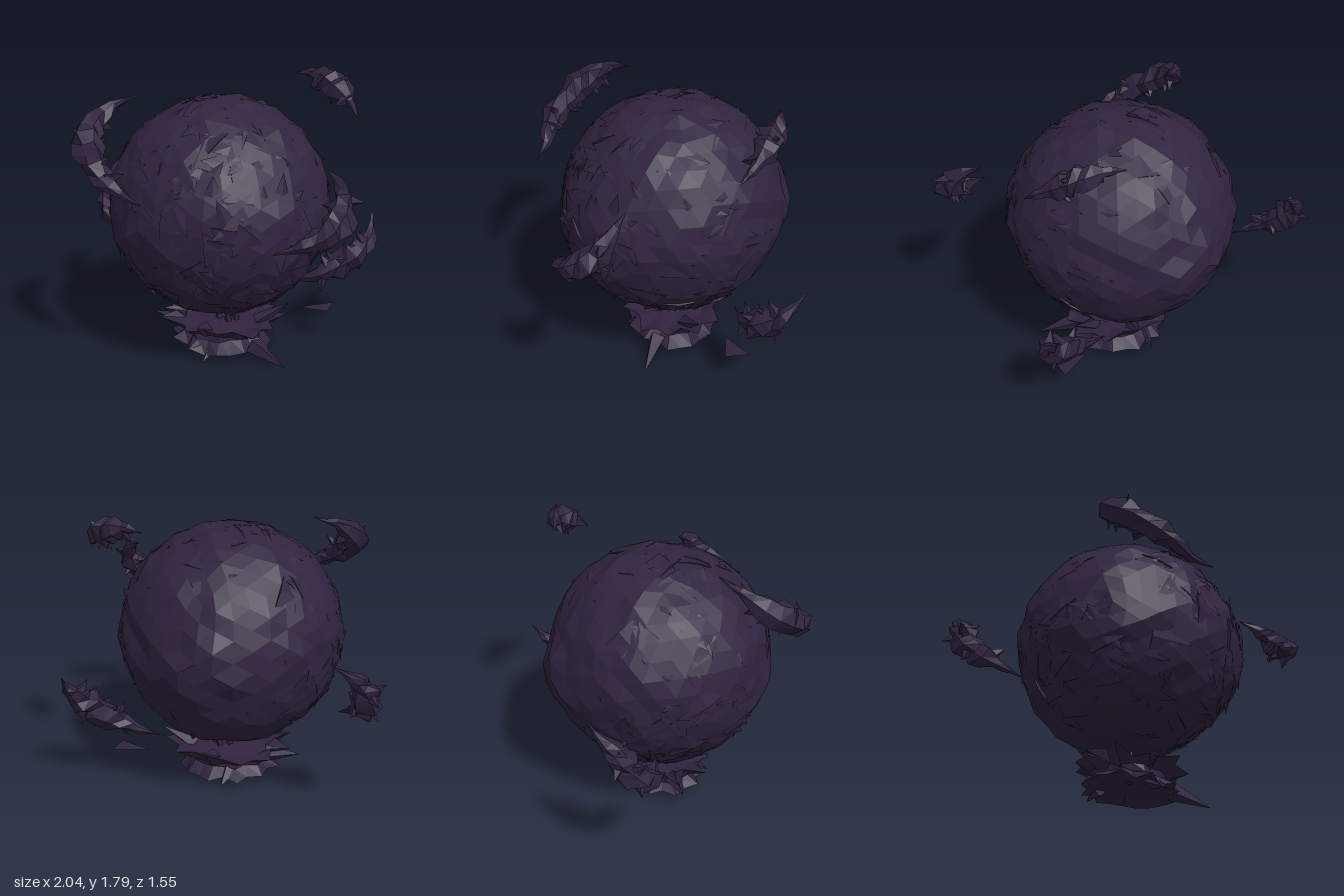
import * as THREE from 'three';
import { mergeGeometries } from 'three/addons/utils/BufferGeometryUtils.js';

// Small seeded random generator
function seeded(seed) {
  let s = seed;
  return () => {
    s = (s * 1664525 + 1013904223) % 4294967296;
    return s / 4294967296;
  };
}

const V = (x, y, z) => new THREE.Vector3(x, y, z);
const CENTRE = V(0.04, 0.965, -0.06);

function randomDirection(rnd) {
  const y = rnd() * 2 - 1, a = rnd() * Math.PI * 2, r = Math.sqrt(1 - y * y);
  return V(Math.cos(a) * r, y, Math.sin(a) * r);
}

// Surface through loops of points; loops are arrays of equal length
function skin(loops) {
  const n = loops[0].length, pos = [], index = [];
  loops.forEach((loop) => loop.forEach((p) => pos.push(p.x, p.y, p.z)));
  for (let i = 0; i < loops.length - 1; i++) {
    for (let j = 0; j < n; j++) {
      const a = i * n + j, b = i * n + (j + 1) % n;
      index.push(a, b, a + n, b, b + n, a + n);
    }
  }
  const g = new THREE.BufferGeometry();
  g.setAttribute('position', new THREE.Float32BufferAttribute(pos, 3));
  g.setIndex(index);
  g.computeVertexNormals();
  return g;
}

// Distance of the ball's surface from its centre in one direction
const BULGE = V(0.58, -0.1, 0.8).normalize();
function ballRadius(d) {
  const bulge = 0.045 * Math.max(0, (d.dot(BULGE) - 0.8) / 0.2);
  const left = 0.02 * Math.max(0, -d.x - 0.6);
  return 0.692 + bulge + left;
}

// Faceted, slightly uneven ball
function rockBall() {
  const g = new THREE.IcosahedronGeometry(1, 6);
  const pos = g.attributes.position, d = V(0, 0, 0);
  for (let i = 0; i < pos.count; i++) {
    d.fromBufferAttribute(pos, i).normalize();
    const uneven = Math.sin(d.x * 23 + d.y * 9) * Math.sin(d.y * 21 - d.z * 11) * Math.sin(d.z * 19 + d.x * 7);
    d.multiplyScalar(ballRadius(d) + uneven * 0.022);
    // point at the back, flattened underside
    if (d.z < -0.64) d.z -= (-0.64 - d.z) * 0.8;
    d.y = Math.max(d.y, -0.68);
    pos.setXYZ(i, d.x, d.y, d.z);
  }
  g.computeVertexNormals();
  return g;
}

// Flat shards overlapping over the ball, sparser at the back
function shards() {
  const rnd = seeded(31), list = [];
  while (list.length < 210) {
    const d = randomDirection(rnd), keep = rnd();
    if (d.z < -0.35 && keep > 0.25) continue;
    if (d.z < -0.8 || d.y < -0.9) continue;
    const aim = randomDirection(rnd).cross(d).normalize().addScaledVector(d, 0.06 + rnd() * 0.16).normalize();
    const g = new THREE.ConeGeometry(0.07 + rnd() * 0.05, 0.16 + rnd() * 0.12, 5);
    const side = V(0, 0, 0).crossVectors(aim, d).normalize();
    const out = V(0, 0, 0).crossVectors(side, aim).normalize();
    g.scale(1, 1, 0.18);
    g.applyMatrix4(new THREE.Matrix4().makeBasis(side, aim, out));
    const r = ballRadius(d) - 0.012;
    g.translate(d.x * r, d.y * r, d.z * r);
    list.push(g);
  }
  return mergeGeometries(list);
}

// Thorn from a base point to a tip
function thorn(from, to, r) {
  const dir = to.clone().sub(from), h = dir.length();
  const g = new THREE.ConeGeometry(r, h, 4);
  g.deleteAttribute('uv');
  g.translate(0, h / 2, 0);
  g.applyQuaternion(new THREE.Quaternion().setFromUnitVectors(V(0, 1, 0), dir.normalize()));
  g.translate(from.x, from.y, from.z);
  return g;
}

// Curved, ragged shard tapering to thin ends, with side thorns
function crescent(points, radius, seed) {
  const rnd = seeded(seed), steps = 14, sides = 6;
  const curve = new THREE.CatmullRomCurve3(points.map((p) => V(...p)));
  const frames = curve.computeFrenetFrames(steps, false);
  const loops = [];
  for (let i = 0; i <= steps; i++) {
    const t = i / steps, c = curve.getPointAt(t);
    const r = radius * Math.pow(Math.max(0, Math.sin(Math.PI * t)), 1.5) + 0.004;
    const loop = [];
    for (let j = 0; j < sides; j++) {
      const a = j / sides * Math.PI * 2, k = r * (0.6 + rnd() * 0.65);
      loop.push(c.clone()
        .addScaledVector(frames.normals[i], Math.cos(a) * k)
        .addScaledVector(frames.binormals[i], Math.sin(a) * k));
    }
    loops.push(loop);
  }
  const parts = [skin(loops)];
  for (let i = 4; i <= 10; i++) {
    const c = curve.getPointAt(i / steps), a = rnd() * Math.PI * 2;
    const aim = frames.normals[i].clone().multiplyScalar(Math.cos(a))
      .addScaledVector(frames.binormals[i], Math.sin(a))
      .addScaledVector(frames.tangents[i], rnd() - 0.5).normalize();
    parts.push(thorn(c, c.clone().addScaledVector(aim, radius * 1.45), radius * 0.6));
  }
  return mergeGeometries(parts);
}

// Waisted pedestal, hollow underneath: [radius, height, raggedness, x stretch]
function pedestal() {
  const rnd = seeded(19), sides = 22;
  const profile = [[0.02, 0.2, 0, 1], [0.08, 0.185, 0.05, 1.2], [0.2, 0.175, 0.1, 1.25], [0.28, 0.205, 0.3, 1.28],
    [0.21, 0.14, 0.12, 1.25], [0.21, 0.11, 0.12, 1.2], [0.28, 0.045, 0.22, 1.1], [0.19, 0.08, 0.08, 1.15],
    [0.02, 0.1, 0, 1]];
  const loops = profile.map(([r, y, ragged, stretch]) => {
    const loop = [];
    for (let j = 0; j < sides; j++) {
      const a = j / sides * Math.PI * 2, c = Math.cos(a);
      const k = r * (1 + ragged * ((j % 2 ? 0.8 : -0.5) * rnd()));
      const raise = c < 0 && y < 0.1 ? c * c * 0.035 : 0;
      loop.push(V(0.06 + c * k * stretch, y + raise + ragged * (rnd() - 0.5) * 0.18,
        -0.06 + Math.sin(a) * k));
    }
    return loop;
  });
  return skin(loops);
}

export function createModel() {
  const group = new THREE.Group();
  const stone = new THREE.MeshStandardMaterial({ color: 0x30233f, flatShading: true, side: THREE.DoubleSide });
  stone.name = 'dark violet stone';
  const add = (name, geometry) => {
    const mesh = new THREE.Mesh(geometry, stone);
    mesh.name = name;
    group.add(mesh);
    return mesh;
  };

  add('rockBall', rockBall()).position.copy(CENTRE);
  add('shards', shards()).position.copy(CENTRE);

  // Floating crescents around the ball
  const crescents = {
    upperFrontCrescent: [0.09, [[-0.43, 1.68, 0.14], [-0.56, 1.62, 0.24], [-0.63, 1.5, 0.4],
      [-0.57, 1.41, 0.54], [-0.46, 1.31, 0.65], [-0.32, 1.23, 0.7], [-0.18, 1.2, 0.76]]],
    rightBackCrescent: [0.09, [[-0.74, 1.08, -0.73], [-0.85, 1.0, -0.67], [-0.91, 0.84, -0.54],
      [-0.85, 0.7, -0.4], [-0.7, 0.6, -0.27]]],
    upperBackCrescent: [0.08, [[0.4, 1.72, -0.62], [0.53, 1.73, -0.58], [0.66, 1.68, -0.5],
      [0.76, 1.62, -0.42], [0.85, 1.53, -0.3]]],
    leftFrontCrescent: [0.09, [[0.79, 1.37, 0.32], [0.9, 1.3, 0.42], [0.91, 1.17, 0.53],
      [0.83, 1.06, 0.65], [0.58, 0.98, 0.73]]],
    leftBackCrescent: [0.09, [[0.91, 0.8, -0.7], [0.92, 0.68, -0.6], [0.84, 0.55, -0.5],
      [0.72, 0.47, -0.44], [0.56, 0.39, -0.42], [0.41, 0.36, -0.4]]],
  };
  Object.entries(crescents).forEach(([name, [r, pts]], i) => add(name, crescent(pts, r, 50 + i * 13)));

  // Pedestal with its long corner thorns
  add('pedestal', pedestal());
  add('pedestalThorns', mergeGeometries([
    thorn(V(0.3, 0.08, 0.08), V(0.55, 0.01, 0.2), 0.06),
    thorn(V(0.28, 0.17, -0.1), V(0.48, 0.3, -0.16), 0.05),
    thorn(V(-0.2, 0.14, -0.05), V(-0.42, 0.17, -0.06), 0.06),
    thorn(V(0.06, 0.08, 0.1), V(0.02, 0.0, 0.26), 0.05),
    thorn(V(0.1, 0.17, -0.25), V(0.14, 0.25, -0.39), 0.05),
    thorn(V(0.0, 0.17, 0.12), V(-0.02, 0.23, 0.25), 0.05),
    thorn(V(0.0, 0.08, -0.25), V(0.02, 0.03, -0.37), 0.05),
  ]));

  // Thin strands joining pedestal and ball
  const strands = [];
  for (let i = 0; i < 5; i++) {
    const a = i / 5 * Math.PI * 2, x = 0.09 + Math.cos(a) * 0.05, z = -0.06 + Math.sin(a) * 0.04;
    strands.push(thorn(V(x, 0.16, z), V(x + Math.cos(a) * 0.03, 0.33, z + Math.sin(a) * 0.03), 0.03));
  }
  add('neckStrands', mergeGeometries(strands));

  // Loose flake beside the pedestal
  const flake = new THREE.BufferGeometry().setFromPoints(
    [V(0.5, 0.2, -0.33), V(0.71, 0.215, -0.28), V(0.72, 0.22, -0.43)]);
  flake.computeVertexNormals();
  add('looseFlake', flake);

  return group;
}
